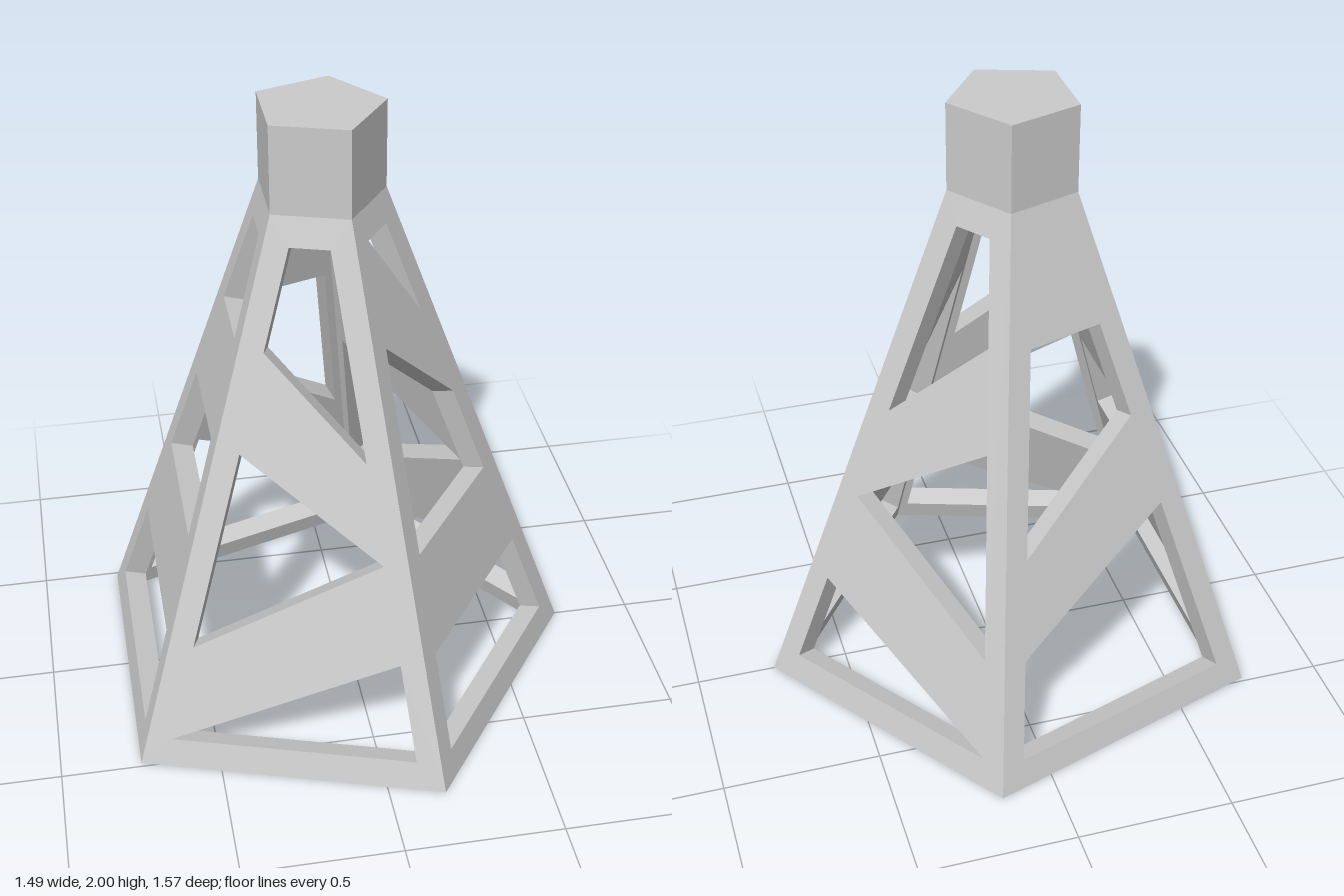
import * as THREE from 'three';

const SIDES = 5, STEP = (Math.PI * 2) / SIDES, HALF = STEP / 2;
const R_BASE = 0.825, R_TOP = 0.203;   // corner radii of the tapered tower
const H = 1.72, CAP_H = 0.28;          // tapered part and straight cap
const WALL = 0.074, MARGIN = 0.077;    // wall thickness, width of corner posts
const CENTRE_X = -0.08;

const apoBase = R_BASE * Math.cos(HALF), apoTop = R_TOP * Math.cos(HALF);
const slant = Math.hypot(H, apoBase - apoTop);
const sinT = (apoBase - apoTop) / slant, cosT = H / slant;

const halfWidth = (y) => (R_BASE + (R_TOP - R_BASE) * (y / H)) * Math.sin(HALF);
const levelY = (i) => 0.09 + 0.308 * i;

// Openings of each wall: corners as [post (0 first, 1 second), level]
const WALLS = [
  ['frontLeftWall', [
    [[0, 0], [1, 0], [1, 1], [0, 1]],
    [[0, 2], [1, 2], [1, 4], [0, 3]],
    [[0, 4], [1, 5], [0, 5]]]],
  ['frontRightWall', [
    [[0, 0], [1, 0], [0, 1]],
    [[0, 2], [1, 1], [1, 3]],
    [[0, 3], [1, 4], [1, 5], [0, 5]]]],
  ['rightWall', [0, 2, 4].map((i) => [[0, i], [1, i], [1, i + 1], [0, i + 1]])],
  ['backRightWall', [
    [[0, 0], [1, 0], [1, 1], [0, 2]],
    [[0, 3], [1, 2], [1, 4], [0, 4]]]],
  ['backLeftWall', [
    [[1, 0], [1, 1], [0, 0]],
    [[1, 2], [0, 1], [0, 3]],
    [[1, 3], [0, 4], [0, 5], [1, 5]]]],
];

// Sloping slab with openings, mitred on its inner side to meet its neighbours
function wallGeometry(openings) {
  const w0 = halfWidth(0), w1 = halfWidth(H);
  const shape = new THREE.Shape([
    new THREE.Vector2(-w0, 0), new THREE.Vector2(w0, 0),
    new THREE.Vector2(w1, slant), new THREE.Vector2(-w1, slant)]);
  for (const corners of openings) {
    shape.holes.push(new THREE.Path(corners.map(([post, level]) => {
      const y = levelY(level);
      return new THREE.Vector2((post ? -1 : 1) * (halfWidth(y) - MARGIN), y / cosT);
    })));
  }
  const geo = new THREE.ExtrudeGeometry(shape, { depth: WALL, bevelEnabled: false });
  geo.translate(0, 0, -WALL);
  const p = geo.attributes.position;
  for (let i = 0; i < p.count; i++) {
    const u = p.getX(i), v = p.getY(i);
    const atEnd = v < 0.001 || v > slant - 0.001;
    if (p.getZ(i) < -WALL / 2 && atEnd) {
      p.setXY(i, u - Math.sign(u) * (WALL / cosT) * Math.tan(HALF), v + (WALL * sinT) / cosT);
    }
  }
  geo.computeVertexNormals();
  return geo;
}

export function createModel() {
  const tower = new THREE.Group();
  tower.name = 'pentagonalTower';
  const material = new THREE.MeshStandardMaterial({ color: 0xcccccc, flatShading: true });

  // Five pierced walls around the axis
  WALLS.forEach(([name, openings], k) => {
    const a = (k + 0.5) * STEP, c = Math.cos(a), s = Math.sin(a);
    const geo = wallGeometry(openings);
    geo.applyMatrix4(new THREE.Matrix4().makeBasis(
      new THREE.Vector3(s, 0, -c),
      new THREE.Vector3(-c * sinT, cosT, -s * sinT),
      new THREE.Vector3(c * cosT, sinT, s * cosT),
    ).setPosition(c * apoBase + CENTRE_X, 0, s * apoBase));
    const wall = new THREE.Mesh(geo, material);
    wall.name = name;
    tower.add(wall);
  });

  // Straight solid cap
  const cap = new THREE.Mesh(
    new THREE.CylinderGeometry(R_TOP, R_TOP, CAP_H, SIDES, 1, false, Math.PI / 2), material);
  cap.name = 'topCap';
  cap.position.set(CENTRE_X, H + CAP_H / 2, 0);
  tower.add(cap);

  return tower;
}
